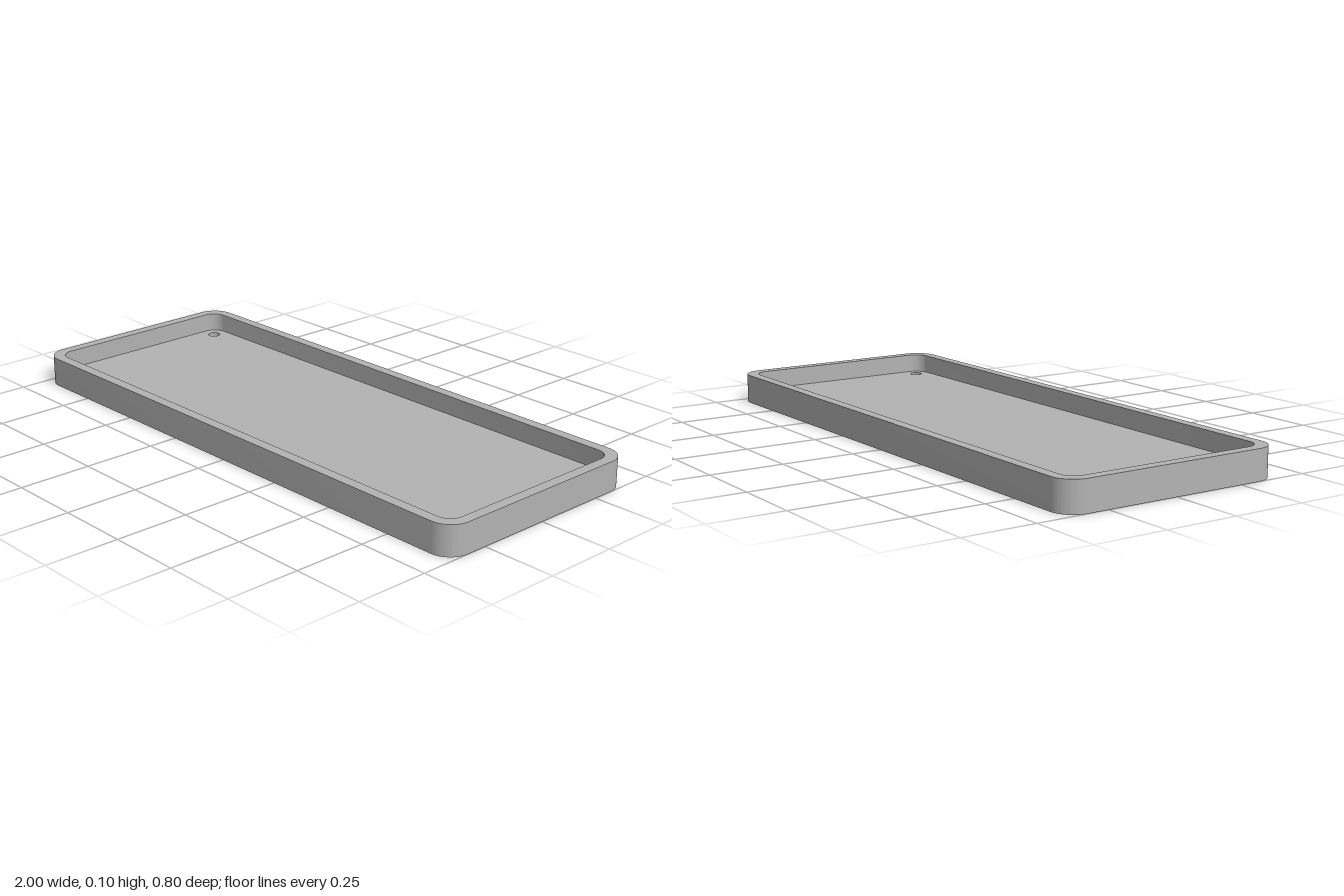
import * as THREE from 'three';
import { toCreasedNormals } from 'three/addons/utils/BufferGeometryUtils.js';

const WIDTH = 2, DEPTH = 0.797, HEIGHT = 0.102;
const WALL = 0.037, FLOOR = 0.037;

// Rounded rectangle centred on the origin
function roundedRect(path, w, d, r) {
  const x = w / 2, y = d / 2;
  path.moveTo(-x + r, -y);
  path.lineTo(x - r, -y);
  path.absarc(x - r, -y + r, r, -Math.PI / 2, 0, false);
  path.lineTo(x, y - r);
  path.absarc(x - r, y - r, r, 0, Math.PI / 2, false);
  path.lineTo(-x + r, y);
  path.absarc(-x + r, y - r, r, Math.PI / 2, Math.PI, false);
  path.lineTo(-x, -y + r);
  path.absarc(-x + r, -y + r, r, Math.PI, Math.PI * 1.5, false);
  return path;
}

// Extrude a plan outline upwards from y = 0
function slab(shape, height) {
  const geometry = new THREE.ExtrudeGeometry(shape, { depth: height, bevelEnabled: false, curveSegments: 12 });
  geometry.rotateX(-Math.PI / 2);
  return toCreasedNormals(geometry, Math.PI / 6);
}

export function createModel() {
  const group = new THREE.Group();
  group.name = 'tray';
  const grey = new THREE.MeshStandardMaterial({ color: 0xb3b3b3 });
  grey.name = 'grey';

  const innerW = WIDTH - 2 * WALL, innerD = DEPTH - 2 * WALL, innerR = 0.05;

  // Raised wall around the edge
  const rim = roundedRect(new THREE.Shape(), WIDTH, DEPTH, 0.075);
  rim.holes.push(roundedRect(new THREE.Path(), innerW, innerD, innerR));
  const wall = new THREE.Mesh(slab(rim, HEIGHT), grey);
  wall.name = 'wall';

  // Floor with a screw hole in each corner
  const plate = roundedRect(new THREE.Shape(), innerW, innerD, innerR);
  for (const sx of [-1, 1]) {
    for (const sz of [-1, 1]) {
      plate.holes.push(new THREE.Path().absarc(sx * 0.91, sz * 0.31, 0.022, 0, Math.PI * 2, true));
    }
  }
  const floor = new THREE.Mesh(slab(plate, FLOOR), grey);
  floor.name = 'floor';

  group.add(wall, floor);
  return group;
}
